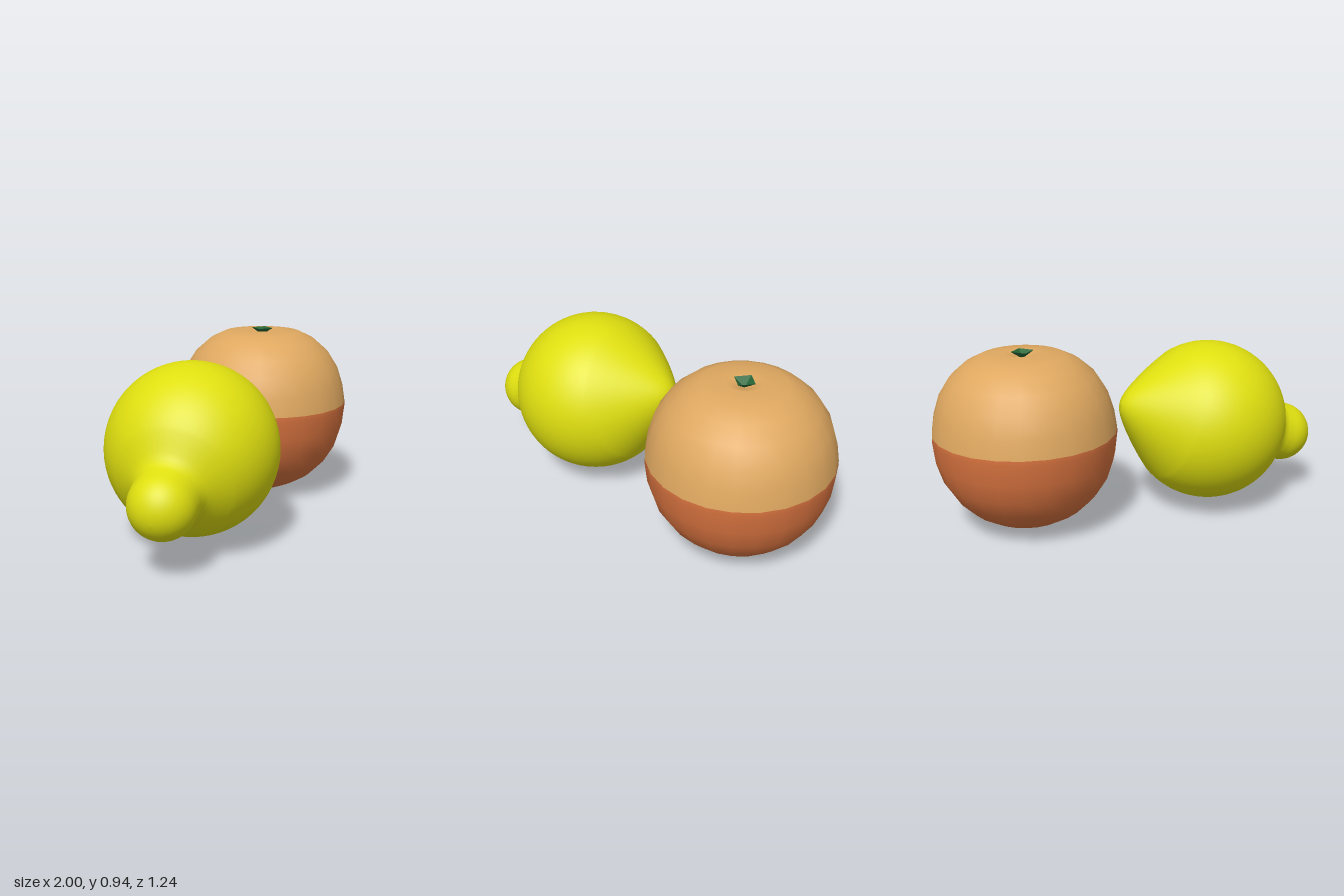
import * as THREE from 'three';

const mat = (name, color, side = THREE.FrontSide) => {
  const m = new THREE.MeshStandardMaterial({ color, side });
  m.name = name;
  return m;
};
const lathe = (name, points, segments, material) => {
  const mesh = new THREE.Mesh(
    new THREE.LatheGeometry(points.map(([r, y]) => new THREE.Vector2(r, y)), segments), material);
  mesh.name = name;
  return mesh;
};
// Points along a circular arc around (0, cy), angles measured from the lower pole
const arc = (radius, cy, from, to, steps) => Array.from({ length: steps + 1 }, (_, i) => {
  const a = from + (to - from) * i / steps;
  return [Math.max(0, radius * Math.sin(a)), cy - radius * Math.cos(a)];
});

export function createModel() {
  const model = new THREE.Group();
  model.name = 'fruit';
  const yellow = mat('lemon yellow', 0xdfdf10);
  const light = mat('light orange', 0xdfa860);
  const dark = mat('deep orange', 0xd8733f);
  const green = mat('stem green', 0x286838, THREE.DoubleSide);

  // Lemon: round nub, flared neck, round body and pointed tip in one smooth profile
  const R = 0.4275;
  const lemon = lathe('lemon', [
    ...arc(0.161, -0.488, 0, Math.PI / 2, 12),
    [0.163, -0.44], [0.17, -0.412], [0.185, -0.392], [0.21, -0.372], [0.243, -0.349],
    ...arc(R, 0, Math.acos(0.32 / R), Math.PI - Math.acos(0.25 / R), 24),
    [0.3, 0.3], [0.255, 0.345], [0.207, 0.39], [0.16, 0.432], [0.12, 0.465],
    [0.088, 0.489], [0.06, 0.507], [0.032, 0.52], [0, 0.525],
  ], 64, yellow);
  lemon.position.set(-0.42, 0.4875, 0.19);
  lemon.quaternion.setFromUnitVectors(
    new THREE.Vector3(0, 1, 0), new THREE.Vector3(0.86, 0.277, -0.43).normalize());
  model.add(lemon);

  // Orange: two coloured halves, slightly flattened and dimpled at the top
  const orange = new THREE.Group();
  orange.name = 'orange';
  orange.position.set(0.522, 0, -0.147);
  const lower = lathe('orangeLowerHalf', [
    [0, 0.003], [0.147, 0.03], [0.215, 0.06], [0.295, 0.107], [0.373, 0.185],
    [0.432, 0.28], [0.466, 0.39], [0.478, 0.5], [0.477, 0.525],
  ], 24, dark);
  const upper = lathe('orangeUpperHalf', [
    [0.477, 0.525], [0.462, 0.62], [0.43, 0.72], [0.373, 0.81], [0.295, 0.878],
    [0.215, 0.917], [0.09, 0.93], [0.045, 0.917], [0, 0.895],
  ], 24, light);
  lower.rotation.y = upper.rotation.y = Math.PI / 24;

  // Stem: small hollow four-sided cup sitting in the dimple
  const cup = new THREE.CylinderGeometry(0.06, 0.004, 0.037, 4, 1, true).toNonIndexed();
  cup.computeVertexNormals();
  const stem = new THREE.Mesh(cup, green);
  stem.name = 'stem';
  stem.position.y = 0.9205;
  stem.rotation.y = Math.PI / 4 - 0.35;
  orange.add(lower, upper, stem);
  model.add(orange);
  return model;
}
